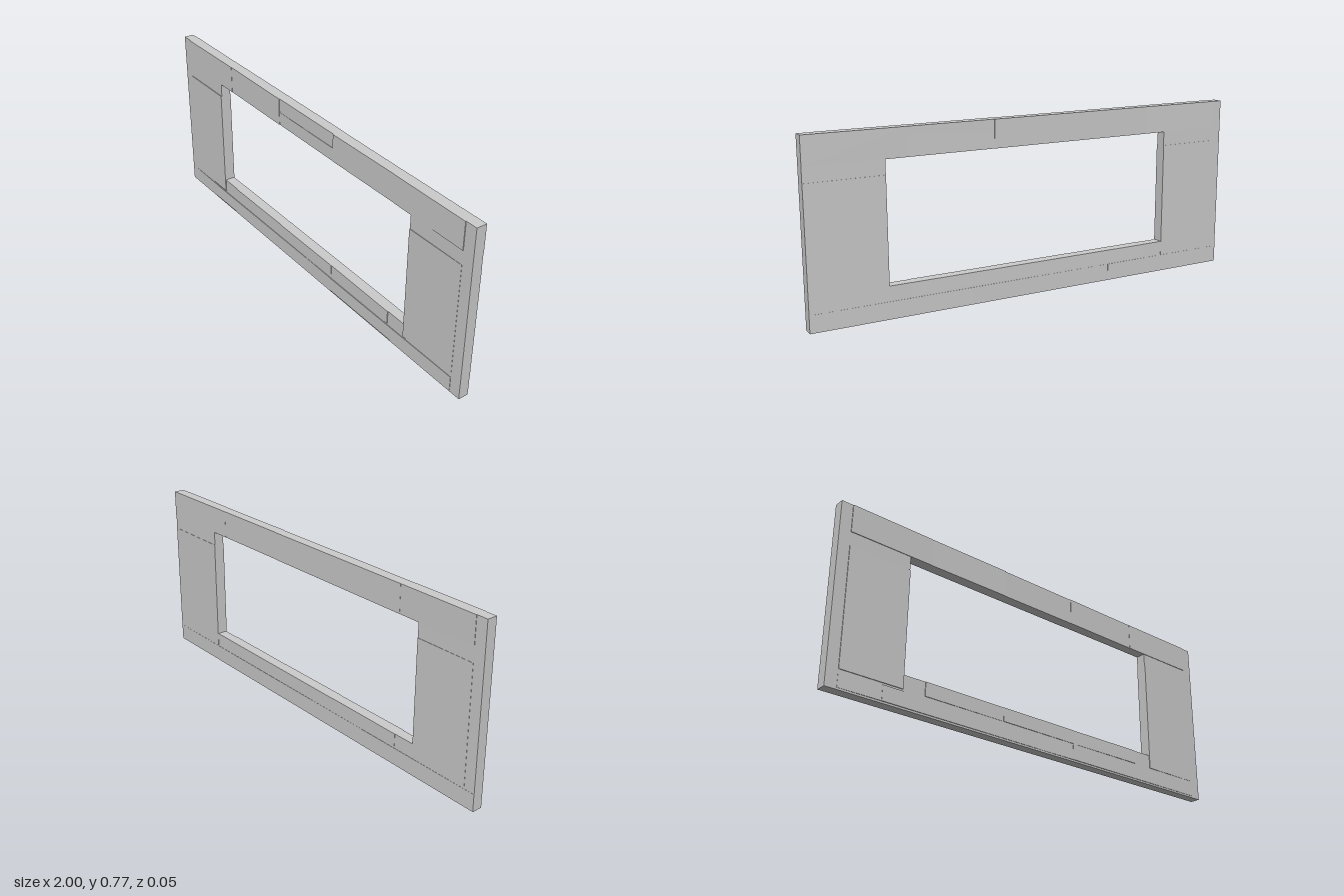
import * as THREE from 'three';

const material = new THREE.MeshStandardMaterial({ color: 0xcccccc, flatShading: true });
const BACK = -0.0235, FRONT = 0.0215;

function addMesh(parent, name, geometry) {
  const mesh = new THREE.Mesh(geometry, material);
  mesh.name = name;
  parent.add(mesh);
  return mesh;
}

// Thin stone facing on the front (side 1) or back (side -1).
// liftA and liftB are its thickness at the low-x and high-x ends.
function addStone(parent, name, side, [x0, x1, y0, y1, liftA, liftB]) {
  const geometry = new THREE.BoxGeometry(x1 - x0, y1 - y0, 1);
  geometry.translate((x0 + x1) / 2, (y0 + y1) / 2, 0);
  const p = geometry.attributes.position;
  const mid = (x0 + x1) / 2;
  const base = side > 0 ? FRONT : BACK;
  for (let i = 0; i < p.count; i++) {
    const outer = p.getZ(i) * side > 0;
    const lift = p.getX(i) < mid ? liftA : liftB;
    p.setZ(i, outer ? base + side * lift : base);
  }
  geometry.computeVertexNormals();
  addMesh(parent, name, geometry);
}

export function createModel() {
  const model = new THREE.Group();
  model.name = 'windowFrame';

  // Solid surround with the rectangular opening
  const outline = new THREE.Shape([
    [-1, 0], [1, 0], [1, 0.773], [-1, 0.773],
  ].map(([x, y]) => new THREE.Vector2(x, y)));
  outline.holes.push(new THREE.Path([
    [-0.675, 0.14], [-0.675, 0.652], [0.668, 0.652], [0.668, 0.14],
  ].map(([x, y]) => new THREE.Vector2(x, y))));
  const surround = new THREE.ExtrudeGeometry(outline, { depth: FRONT - BACK, bevelEnabled: false });
  surround.translate(0, 0, BACK);
  addMesh(model, 'surround', surround);

  // Front stones, inset from the outer side rims
  const front = new THREE.Group();
  front.name = 'frontStones';
  model.add(front);
  const frontStones = {
    leftJamb: [0.668, 0.948, 0.08, 0.59, 0.003, 0.001],
    rightJamb: [-0.95, -0.675, 0.08, 0.59, 0.003, 0.004],
    leftTopCorner: [0.57, 0.948, 0.652, 0.773, 0.002, 0.003],
    rightTopCorner: [-0.95, -0.575, 0.652, 0.773, 0.003, 0.002],
    lintelRight: [-0.575, -0.19, 0.652, 0.773, 0.001, 0.003],
    lintelMiddle: [-0.19, 0.19, 0.652, 0.71, 0.001, 0.002],
    lintelLeft: [0.19, 0.57, 0.652, 0.773, 0.003, 0.001],
    sillUpperRight: [-0.575, -0.19, 0.08, 0.14, 0.003, 0.001],
    sillUpperMiddle: [-0.19, 0.19, 0.08, 0.14, 0.003, 0.002],
    sillUpperLeft: [0.19, 0.57, 0.08, 0.14, 0.001, 0.003],
    sillLowerCorner: [-0.95, -0.765, 0.008, 0.072, 0.001, 0.003],
    sillLowerRight: [-0.765, -0.005, 0.008, 0.072, 0.004, 0.002],
    sillLowerMiddle: [-0.005, 0.19, 0.008, 0.072, 0.001, 0.003],
    sillLowerLeft: [0.19, 0.948, 0.008, 0.072, 0.004, 0.002],
  };
  for (const [name, spec] of Object.entries(frontStones)) addStone(front, name, 1, spec);

  // Back stones, with the jambs running to the outer edges
  const back = new THREE.Group();
  back.name = 'backStones';
  model.add(back);
  const backStones = {
    leftJambBack: [0.668, 1, 0.08, 0.59, 0.0015, 0.001],
    rightJambBack: [-0.95, -0.675, 0.08, 0.59, 0.001, 0.0015],
    leftTopCornerBack: [0.575, 1, 0.652, 0.773, 0.0005, 0.0015],
    rightTopCornerBack: [-0.95, -0.575, 0.652, 0.773, 0.0015, 0.0005],
    lintelBack: [-0.575, 0.19, 0.652, 0.773, 0.001, 0.0015],
    sillUpperRightBack: [-0.575, -0.19, 0.085, 0.14, 0.0015, 0.0005],
    sillUpperLeftBack: [-0.19, 0.575, 0.085, 0.14, 0.0015, 0.0005],
    sillLowerRightBack: [-1, -0.38, 0.01, 0.075, 0.0005, 0.0015],
    sillLowerMiddleBack: [-0.38, 0.3, 0.01, 0.075, 0.0005, 0.0015],
    sillLowerLeftBack: [0.3, 1, 0.01, 0.075, 0.0015, 0.0005],
  };
  for (const [name, spec] of Object.entries(backStones)) addStone(back, name, -1, spec);

  return model;
}
